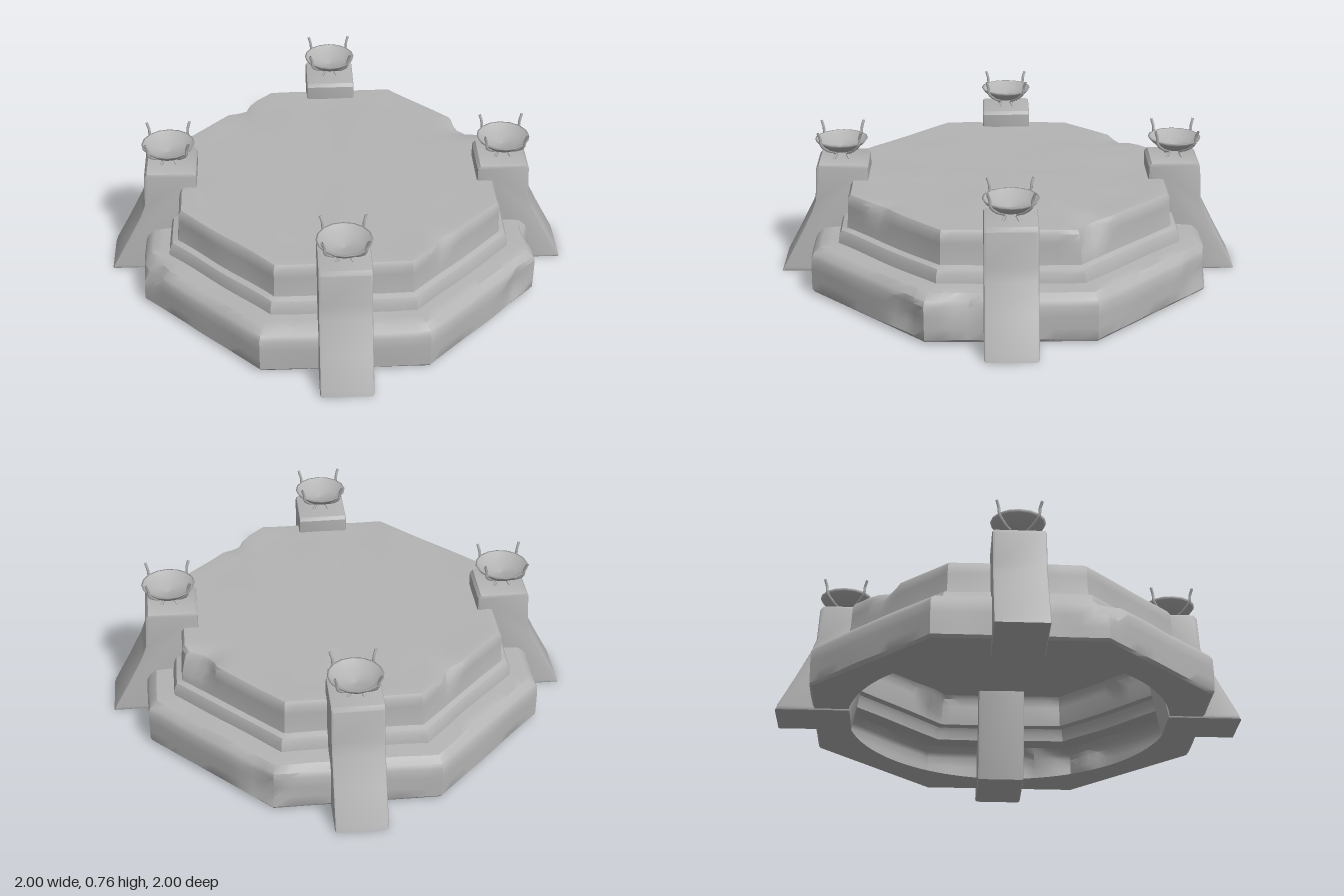
import * as THREE from 'three';
import { toCreasedNormals } from 'three/addons/utils/BufferGeometryUtils.js';

const STEPS = 12; // points along each octagon side

// Worn chips: [x, y, z, radius, depth]
const CHIPS = [
  [0.8, 0.5, 0.24, 0.13, 0.05], [0.1, 0.5, -0.8, 0.08, 0.03], [-0.1, 0.5, 0.8, 0.08, 0.025],
  [-0.98, 0.22, -0.38, 0.1, 0.04], [0.28, 0.13, 1.0, 0.1, 0.03], [1.0, 0.14, -0.36, 0.14, 0.03],
  [0.55, 0.2, 0.86, 0.09, 0.03], [-0.6, 0.5, -0.55, 0.09, 0.03],
];

// Hollow stepped octagon: [apothem, height, round?] rows from the floor opening to the deck centre
const PROFILE = [
  [0.825, 0.01, true], [0.985, 0.01], [0.997, 0.025], [0.998, 0.08], [0.998, 0.14], [0.997, 0.195],
  [0.985, 0.22], [0.95, 0.248], [0.9, 0.252], [0.862, 0.255], [0.856, 0.3], [0.845, 0.322], [0.818, 0.332],
  [0.812, 0.38], [0.81, 0.44], [0.808, 0.485], [0.795, 0.505], [0.77, 0.507],
  [0.7, 0.503], [0.6, 0.505], [0.4, 0.506], [0.2, 0.505], [0, 0.506],
];

function platformGeometry() {
  const pos = [], index = [], n = 8 * STEPS, p = new THREE.Vector3(), chip = new THREE.Vector3();
  PROFILE.forEach(([a, y, round]) => {
    const R = a / Math.cos(Math.PI / 8);
    for (let i = 0; i < n; i++) {
      const k = Math.floor(i / STEPS), t = (i % STEPS) / STEPS;
      const t0 = (k - 0.5) * Math.PI / 4, t1 = t0 + Math.PI / 4;
      p.set(R * THREE.MathUtils.lerp(Math.sin(t0), Math.sin(t1), t), y,
        R * THREE.MathUtils.lerp(Math.cos(t0), Math.cos(t1), t));
      if (round) {
        p.multiplyScalar(a / Math.hypot(p.x, p.z));
        p.y = y;
      } else if (y > 0.02) {
        // gentle hand-cut unevenness
        p.y += 0.003 * Math.sin(p.x * 9 + p.z * 5) * Math.cos(p.z * 7);
        const s = 1 + 0.003 * Math.sin(p.x * 11 + 1) * Math.cos(p.z * 13 + p.y * 9);
        p.x *= s; p.z *= s;
        for (const [cx, cy, cz, r, depth] of CHIPS) {
          const f = 1 - p.distanceTo(chip.set(cx, cy, cz)) / r;
          if (f > 0) {
            const len = Math.hypot(p.x, p.z), d = depth * Math.min(1, f * 1.5);
            p.x -= p.x / len * d; p.z -= p.z / len * d; p.y -= d * 0.4;
          }
        }
      }
      pos.push(p.x, p.y, p.z);
    }
  });
  for (let j = 0; j < PROFILE.length - 1; j++) {
    for (let i = 0; i < n; i++) {
      const a = j * n + i, b = j * n + (i + 1) % n;
      index.push(a, b, b + n);
      if (PROFILE[j + 1][0] > 0) index.push(a, b + n, a + n);
    }
  }
  const g = new THREE.BufferGeometry();
  g.setAttribute('position', new THREE.Float32BufferAttribute(pos, 3));
  g.setIndex(index);
  return toCreasedNormals(g, 0.6);
}

// Buttress side outline (outward distance, height), extruded to its width
function pillarGeometry() {
  const outline = [[0.81, 0], [1.185, 0], [1.175, 0.03], [1.09, 0.19], [1.02, 0.33], [0.995, 0.4],
    [0.985, 0.57], [0.97, 0.592], [0.735, 0.592], [0.72, 0.575], [0.72, 0.48]];
  const shape = new THREE.Shape(outline.map(([x, y]) => new THREE.Vector2(x, y)));
  const bevel = 0.012, width = 0.26;
  const g = new THREE.ExtrudeGeometry(shape, { depth: width - 2 * bevel, bevelEnabled: true,
    bevelThickness: bevel, bevelSize: bevel, bevelOffset: -bevel, bevelSegments: 2 });
  g.translate(0, 0, -width / 2 + bevel);
  return toCreasedNormals(g, 0.6);
}

const bowlGeometry = () => new THREE.LatheGeometry(
  [[0, 0.622], [0.045, 0.628], [0.09, 0.648], [0.128, 0.682], [0.136, 0.694], [0.126, 0.694], [0.085, 0.662], [0, 0.645]]
    .map(([x, y]) => new THREE.Vector2(x, y)), 16);

// Curved iron: foot, bowl support and upturned prong in one strip
function prongGeometry() {
  const path = new THREE.CatmullRomCurve3([[0.058, 0.592], [0.038, 0.618], [0.09, 0.645], [0.135, 0.685],
    [0.14, 0.72], [0.155, 0.755]].map(([x, y]) => new THREE.Vector3(x, y, 0)));
  return new THREE.TubeGeometry(path, 16, 0.0075, 5);
}

export function createModel() {
  const model = new THREE.Group();
  model.name = 'braзierPlatform'.replace('з', 'z');
  const stone = new THREE.MeshStandardMaterial({ color: 0xb4b4b4, side: THREE.DoubleSide });
  stone.name = 'grey stone';
  const add = (parent, geometry, name) => {
    const mesh = new THREE.Mesh(geometry, stone);
    mesh.name = name;
    parent.add(mesh);
    return mesh;
  };

  add(model, platformGeometry(), 'steppedPlatform');

  const pillar = pillarGeometry(), bowl = bowlGeometry(), prong = prongGeometry();
  for (let i = 0; i < 4; i++) {
    const corner = new THREE.Group();
    corner.name = 'cornerPillar';
    corner.rotation.y = Math.PI / 4 + i * Math.PI / 2;
    add(corner, pillar, 'buttress');

    // Fire bowl on top, its prongs squared to the platform sides
    const brazier = new THREE.Group();
    brazier.name = 'brazier';
    brazier.position.x = 0.86;
    brazier.rotation.y = Math.PI / 4;
    add(brazier, bowl, 'bowl');
    for (let k = 0; k < 4; k++) add(brazier, prong, 'prong').rotation.y = k * Math.PI / 2;
    corner.add(brazier);
    model.add(corner);
  }
  return model;
}
